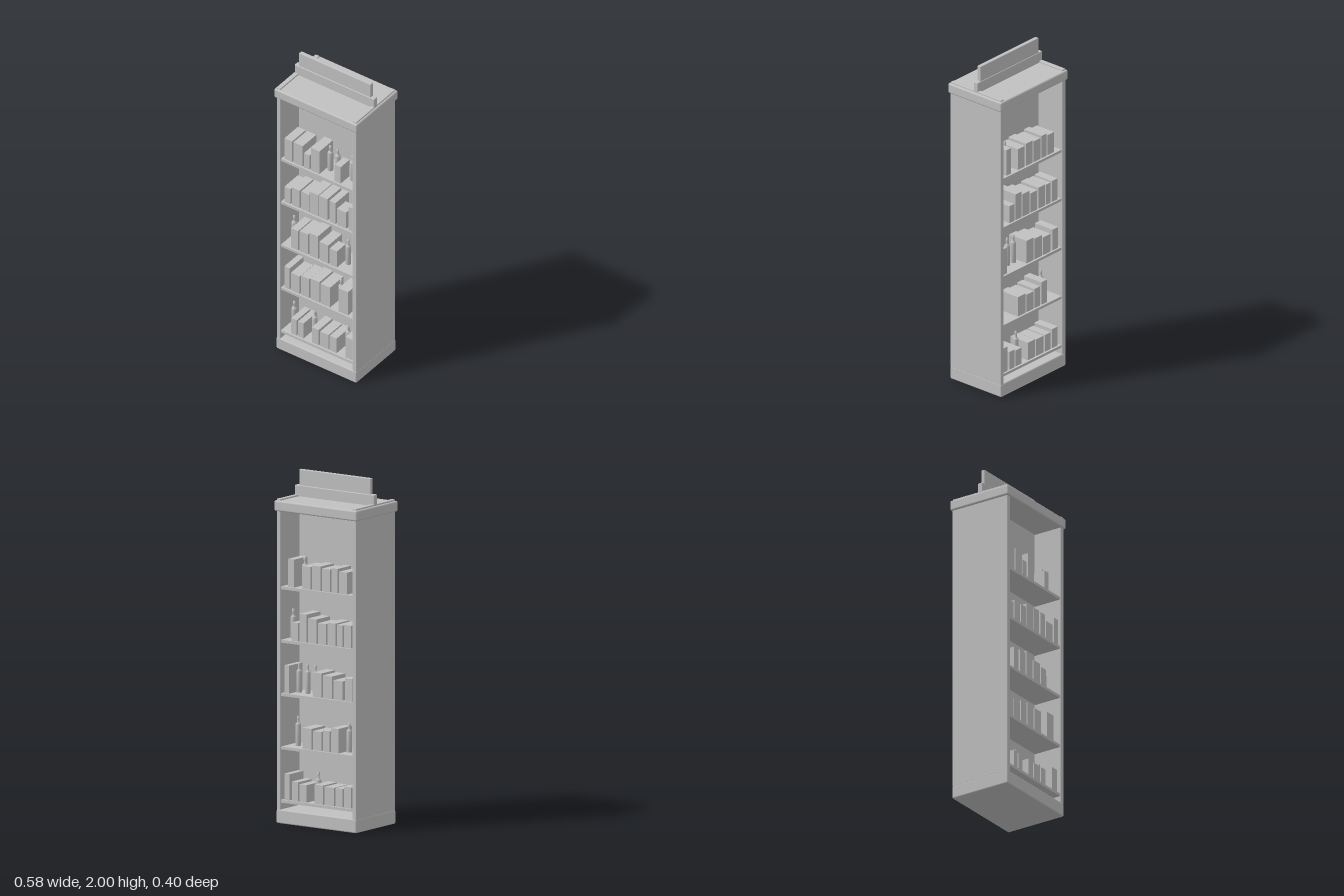
import * as THREE from 'three';
import { RoundedBoxGeometry } from 'three/addons/geometries/RoundedBoxGeometry.js';

const grey = new THREE.MeshStandardMaterial({ color: 0xc0c0c0 });
grey.name = 'light grey';

function add(parent, name, geometry, x = 0, y = 0, z = 0) {
  const mesh = new THREE.Mesh(geometry, grey);
  mesh.name = name;
  mesh.position.set(x, y, z);
  parent.add(mesh);
  return mesh;
}

// Softly rounded board from its bottom height to its top height
function board(parent, name, w, y0, y1, d, x = 0, r = 0.006) {
  return add(parent, name, new RoundedBoxGeometry(w, y1 - y0, d, 2, r), x, (y0 + y1) / 2, 0);
}

// Shelf stock in hundredths: [left, right, height] is a carton, [centre] is a bottle
const frontStock = [
  [[-23.5, -18.2, 14.5], [-17.2, -10.8, 14.5], [-10, -6.1, 10], [-5, 0.8, 16], [3.4], [8.5], [11.4, 15.6, 11.6, 8.5], [18.8]],
  [[-23.5, -19.3, 10.6], [-18.2, -12.9, 12.4], [-11.9, -6.6, 12.4], [-6.1, 0, 15], [0.5, 6.3, 15], [7.7, 11.9, 14.8], [12.9, 19.3, 11.4, 8.5], [21.1, 24.8, 16.4]],
  [[-21.7], [-18.8, -14, 13.7], [-12.9, -7.1, 14.3], [-6.1, -0.3, 16.1], [0.8, 6.9, 12.9], [7.9, 12.9, 11.4, 8.5], [15.8], [20.9]],
  [[-23.5, -19.8, 15], [-19, -12.9, 12.4], [-11.9, -6.3, 13.5], [-5.5, 0.8, 14.5], [1.6, 8.2, 14], [10.8], [14, 20.6, 16.4]],
  [[-21.7], [-18.8, -15, 10.8], [-14, -10.3, 10.6], [-7.4], [-4.5, 0.3, 10.8], [1.3, 7.1, 10.3], [7.9, 12.7, 10.3], [15.8], [18.8, 24, 14.5]],
];
const backStock = [
  [[-21, -16.8, 16], [-14.3], [-11, -5.3, 13], [-4.3, 1.5, 14], [2.5, 8.2, 13], [9.2, 13.5, 14], [14.5, 20, 12.5]],
  [[-22.3], [-18.3, -14, 10.5], [-13, -8, 16], [-7, -1.2, 14], [-0.2, 5.5, 12], [6.5, 12, 13], [13, 17, 12.5], [18, 23, 13]],
  [[-23.5, -20.3, 16], [-18.3], [-12.3], [-7], [-3.6, 2.2, 14], [3.2, 9.5, 13], [10.5, 17, 11], [18.5, 23.5, 13]],
  [[-19], [-11, -4.6, 12], [-3.6, 2.2, 11], [3.2, 8, 12], [9, 14, 14], [16.6]],
  [[-23.5, -19.8, 15], [-18.3, -14, 11], [-13, -8, 10], [-4.9], [-2.5, 3.5, 11], [4.5, 11, 10.5], [12, 17, 10.5], [18, 23, 12]],
];
const shelfTops = [1.355, 1.05, 0.745, 0.44, 0.135];

// Bottle profile: body, shoulder, neck and cap
const bottleProfile = [[0, 0], [0.016, 0], [0.016, 0.12], [0.013, 0.128], [0.006, 0.132],
  [0.006, 0.15], [0.008, 0.152], [0.007, 0.169], [0, 0.169]].map(([x, y]) => new THREE.Vector2(x, y));
const bottleGeometry = new THREE.LatheGeometry(bottleProfile, 16);

function stockSide(name, stock) {
  const side = new THREE.Group();
  side.name = name;
  stock.forEach((row, i) => row.forEach(([a, b, h, depth = 13]) => {
    if (b === undefined) {
      add(side, 'bottle', bottleGeometry, a / 100, shelfTops[i], 0.1);
    } else {
      const box = new THREE.BoxGeometry((b - a) / 100, h / 100, depth / 100);
      add(side, 'carton', box, (a + b) / 200, shelfTops[i] + h / 200, 0.17 - depth / 200);
    }
  }));
  return side;
}

export function createModel() {
  const model = new THREE.Group();
  model.name = 'doubleSidedDisplayShelf';

  // Cabinet frame
  board(model, 'plinth', 0.556, 0, 0.08, 0.38, 0, 0.008);
  for (const s of [-1, 1]) board(model, 'sidePanel', 0.027, 0.075, 1.855, 0.376, s * 0.2635, 0.004);
  board(model, 'topSlab', 0.576, 1.785, 1.846, 0.398, 0, 0.01);

  // Centre divider rising into the header sign
  board(model, 'centrePanel', 0.497, 0.08, 2, 0.024, 0, 0.003);
  board(model, 'headerRail', 0.554, 1.84, 1.91, 0.032, 0, 0.006);

  // Shelves run through both faces of the unit
  for (const y of shelfTops) {
    add(model, 'shelf', new THREE.BoxGeometry(0.502, 0.016, 0.364), 0, y - 0.008, 0);
  }

  // Goods on both faces
  model.add(stockSide('frontGoods', frontStock));
  const back = stockSide('backGoods', backStock);
  back.rotation.y = Math.PI;
  model.add(back);
  return model;
}
